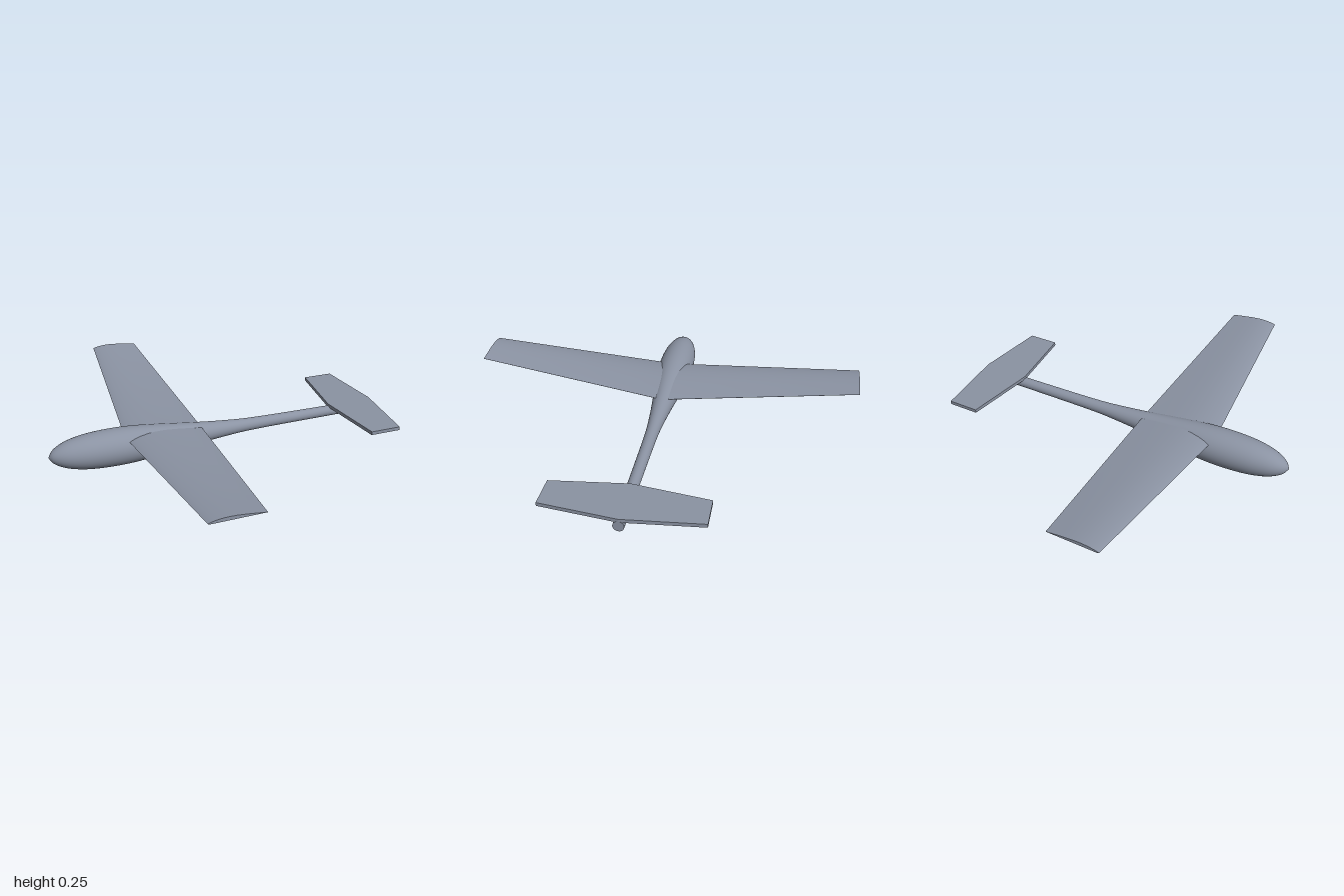
import * as THREE from 'three';
import { toCreasedNormals } from 'three/addons/utils/BufferGeometryUtils.js';

const hull = new THREE.MeshStandardMaterial({ color: 0x8b93a3 });
hull.name = 'glider grey';

function part(name, geometry) {
  const mesh = new THREE.Mesh(geometry, hull);
  mesh.name = name;
  return mesh;
}

// Slender teardrop body turned around the x axis, nose at -x
function makeFuselage() {
  const axisY = 0.095;
  const stations = [
    [0, -0.873], [0.03, -0.853], [0.061, -0.80], [0.082, -0.72], [0.091, -0.64],
    [0.094, -0.55], [0.092, -0.47], [0.084, -0.37], [0.073, -0.27], [0.061, -0.17],
    [0.05, -0.07], [0.041, 0.03], [0.034, 0.13], [0.031, 0.23], [0.029, 0.4], [0.026, 0.873],
  ].map(([r, x]) => new THREE.Vector3(r, x, 0));
  const profile = new THREE.CatmullRomCurve3(stations).getPoints(60)
    .map((p) => new THREE.Vector2(Math.max(p.x, 0), p.y));

  const group = new THREE.Group();
  group.name = 'fuselage';
  const body = part('body', new THREE.LatheGeometry(profile, 48));
  body.rotation.z = -Math.PI / 2;
  const cap = part('tailCap', new THREE.CircleGeometry(0.026, 48));
  cap.rotation.y = Math.PI / 2;
  cap.position.x = 0.873;
  group.add(body, cap);
  group.position.y = axisY;
  return group;
}

// One-piece wing with dihedral: flat-bottomed airfoil sections from tip to tip
function makeWing() {
  const airfoil = [
    [0, 0.012], [0.03, 0.026], [0.08, 0.041], [0.16, 0.056], [0.26, 0.066], [0.36, 0.069],
    [0.5, 0.063], [0.65, 0.048], [0.82, 0.027], [1, 0.003], [1, 0], [0.5, 0], [0.04, 0],
  ];
  const sections = [
    { z: -1, lead: -0.425, chord: 0.249, y: 0.235 },
    { z: 0, lead: -0.496, chord: 0.392, y: 0.133 },
    { z: 1, lead: -0.425, chord: 0.249, y: 0.235 },
  ];
  const n = airfoil.length;
  const positions = [];
  const indices = [];
  for (const s of sections) {
    for (const [u, v] of airfoil) positions.push(s.lead + u * s.chord, s.y + v * s.chord, s.z);
  }
  for (let i = 0; i < sections.length - 1; i++) {
    for (let j = 0; j < n; j++) {
      const a = i * n + j;
      const b = i * n + ((j + 1) % n);
      indices.push(a, a + n, b, b, a + n, b + n);
    }
  }
  // Tip caps
  const last = (sections.length - 1) * n;
  for (let j = 1; j < n - 1; j++) {
    indices.push(0, j, j + 1);
    indices.push(last, last + j + 1, last + j);
  }
  const geometry = new THREE.BufferGeometry();
  geometry.setAttribute('position', new THREE.Float32BufferAttribute(positions, 3));
  geometry.setIndex(indices);
  return part('wing', toCreasedNormals(geometry, 0.45));
}

// Flat six-sided tailplane on top of the boom
function makeTailplane() {
  const outline = [
    [0.625, 0], [0.673, -0.373], [0.833, -0.373], [0.873, 0], [0.833, 0.373], [0.673, 0.373],
  ].map(([x, z]) => new THREE.Vector2(x, z));
  const geometry = new THREE.ExtrudeGeometry(new THREE.Shape(outline), { depth: 0.018, bevelEnabled: false });
  geometry.rotateX(-Math.PI / 2);
  const tail = part('tailplane', geometry);
  tail.position.y = 0.116;
  return tail;
}

export function createModel() {
  const glider = new THREE.Group();
  glider.name = 'glider';
  glider.add(makeFuselage(), makeWing(), makeTailplane());
  return glider;
}
